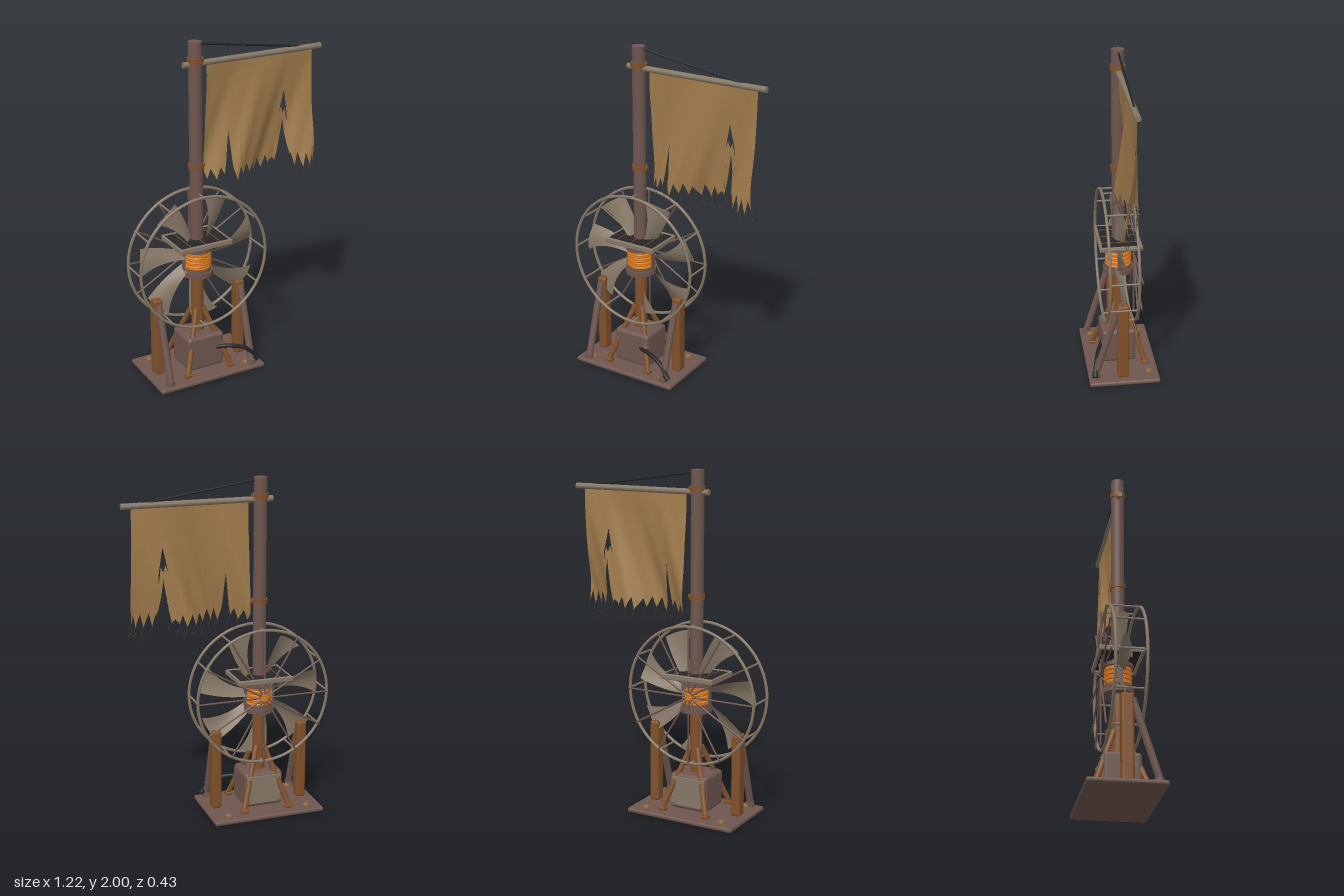
import * as THREE from 'three';
import { RoundedBoxGeometry } from 'three/addons/geometries/RoundedBoxGeometry.js';

const V = (x, y, z) => new THREE.Vector3(x, y, z);
const CX = -0.197, HUB = 0.72;

export function createModel() {
  const root = new THREE.Group();
  root.name = 'windTurbine';
  const mat = (name, color, side = THREE.FrontSide) => {
    const m = new THREE.MeshStandardMaterial({ color, side });
    m.name = name;
    return m;
  };
  const iron = mat('brownIron', 0x6e564e);
  const rust = mat('rust', 0x80502a);
  const copper = mat('copper', 0xde7a1a);
  const metal = mat('wornMetal', 0x857766, THREE.DoubleSide);
  const panelMat = mat('panelDark', 0x262627);
  const cableMat = mat('cableBlack', 0x202426);
  const clothMat = mat('cloth', 0xa07b4b, THREE.DoubleSide);
  const threadMat = mat('thread', 0x4a3c2c);
  const boltMat = mat('boltBronze', 0x8a643e);

  const add = (name, geo, m, x = 0, y = 0, z = 0) => {
    const mesh = new THREE.Mesh(geo, m);
    mesh.name = name;
    mesh.position.set(x, y, z);
    root.add(mesh);
    return mesh;
  };
  // Round bar between two points
  const bar = (name, a, b, r, m, sides = 10) => {
    const mesh = add(name, new THREE.CylinderGeometry(r, r, a.distanceTo(b), sides), m);
    mesh.position.copy(a).add(b).multiplyScalar(0.5);
    mesh.quaternion.setFromUnitVectors(V(0, 1, 0), b.clone().sub(a).normalize());
    return mesh;
  };
  const box = (name, w, h, d, r, m, x, y, z) => add(name, new RoundedBoxGeometry(w, h, d, 3, r), m, x, y, z);
  const tube = (name, pts, r, m, n = 20) =>
    add(name, new THREE.TubeGeometry(new THREE.CatmullRomCurve3(pts), n, r, 8), m);

  // Base plate with corner bolts
  box('basePlate', 0.685, 0.028, 0.43, 0.012, iron, CX, 0.014, -0.002);
  for (const x of [-0.447, 0.047]) for (const z of [-0.157, 0.153]) {
    add('boltWasher', new THREE.CylinderGeometry(0.024, 0.024, 0.008, 16), boltMat, x, 0.031, z);
    const dome = add('baseBolt', new THREE.SphereGeometry(0.019, 14, 6, 0, Math.PI * 2, 0, Math.PI / 2), boltMat, x, 0.034, z);
    dome.scale.y = 0.7;
  }

  // Battery box, back plate, screws
  box('batteryBox', 0.24, 0.215, 0.21, 0.022, iron, CX, 0.143, 0.008);
  box('boxBackPlate', 0.215, 0.175, 0.008, 0.003, metal, CX, 0.145, -0.099);
  for (const x of [-0.09, 0.09]) for (const y of [0.075, 0.215])
    add('plateScrew', new THREE.SphereGeometry(0.009, 10, 6), boltMat, CX + x, y, -0.104);

  // Power cable
  tube('cable', [V(-0.13, 0.16, 0.108), V(-0.04, 0.157, 0.14), V(0.05, 0.125, 0.165), V(0.1, 0.06, 0.178)], 0.013, cableMat);
  bar('cablePlug', V(0.085, 0.075, 0.175), V(0.11, 0.05, 0.18), 0.017, cableMat);

  // Mast and its four struts
  bar('lowerMast', V(CX, 0.24, 0), V(CX, 0.8, 0), 0.037, rust, 20);
  bar('upperMast', V(CX, 0.79, 0), V(CX, 2, 0), 0.038, iron, 24);
  for (const y of [1.285, 1.895]) {
    add('mastClamp', new THREE.CylinderGeometry(0.046, 0.046, 0.028, 24), rust, CX, y, 0);
    box('clampLug', 0.02, 0.022, 0.02, 0.004, rust, CX + 0.045, y, 0);
  }
  for (const sx of [-1, 1]) for (const sz of [-1, 1]) {
    bar('mastStrut', V(CX + sx * 0.14, 0.05, sz * 0.145), V(CX + sx * 0.022, 0.4, sz * 0.025), 0.016, rust);
    box('strutFoot', 0.045, 0.02, 0.04, 0.006, rust, CX + sx * 0.14, 0.04, sz * 0.145);
  }

  // Side posts with leaning braces
  for (const x of [-0.467, 0.073]) {
    box('sidePost', 0.058, 0.49, 0.07, 0.014, rust, x, 0.272, 0.005);
    bar('postBrace', V(x, 0.045, 0.175), V(x, 0.49, 0.035), 0.021, iron, 12);
    add('braceFoot', new THREE.CylinderGeometry(0.026, 0.028, 0.03, 12), iron, x, 0.042, 0.172);
  }

  // Generator coil between two flanges
  for (const [y, h, r] of [[0.63, 0.03, 0.092], [0.655, 0.02, 0.082], [0.782, 0.022, 0.088]])
    add('coilFlange', new THREE.CylinderGeometry(r, r, h, 28), iron, CX, y, 0);
  add('coilCore', new THREE.CylinderGeometry(0.07, 0.07, 0.13, 24), copper, CX, 0.715, 0);
  for (let i = 0; i < 8; i++) {
    const t = add('coilTurn', new THREE.TorusGeometry(0.07, 0.0095, 8, 32), copper, CX, 0.67 + i * 0.0135, 0);
    t.rotation.set(Math.PI / 2, i % 2 ? 0.05 : -0.04, 0);
  }
  for (const s of [-1, 1]) box('coilBracket', 0.012, 0.12, 0.03, 0.005, iron, CX + s * 0.086, 0.71, 0);

  // Seven swept, twisted blades
  const bladeGeo = new THREE.PlaneGeometry(1, 1, 8, 12);
  const bp = bladeGeo.attributes.position;
  for (let i = 0; i < bp.count; i++) {
    const v = bp.getX(i) + 0.5, s = bp.getY(i) + 0.5;
    const lo = -20 + 10 * s, hi = 1 + 14 * Math.pow(s, 1.7);
    const a = THREE.MathUtils.degToRad(lo + (hi - lo) * v), r = 0.08 + 0.29 * s;
    const z = (v - 0.5) * 0.055 * (1 - 0.3 * s) + 0.014 * Math.sin(Math.PI * v) * s;
    bp.setXYZ(i, r * Math.cos(a), r * Math.sin(a), z);
  }
  bladeGeo.computeVertexNormals();
  for (let i = 0; i < 7; i++)
    add('fanBlade', bladeGeo, metal, CX, HUB, 0).rotation.z = THREE.MathUtils.degToRad(17 + i * 360 / 7);

  // Guard cage: two hoops, cross bars and rear spokes
  for (const z of [-0.075, 0.095])
    add('guardHoop', new THREE.TorusGeometry(0.403, 0.009, 8, 72), metal, CX, HUB, z);
  for (let i = 0; i < 12; i++) {
    const a = i * Math.PI / 6, c = Math.cos(a), s = Math.sin(a);
    const at = (r, z) => V(CX + r * c, HUB + r * s, z);
    bar('guardCrossBar', at(0.403, -0.075), at(0.403, 0.095), 0.006, metal, 8);
    bar('guardSpoke', at(0.025, -0.096), at(0.403, -0.096), 0.0055, iron, 8);
  }

  // Solar panel tray around the mast
  box('solarPanel', 0.31, 0.014, 0.235, 0.004, panelMat, CX, 0.834, 0);
  for (const s of [-1, 1]) {
    box('panelRail', 0.335, 0.034, 0.018, 0.008, metal, CX, 0.829, s * 0.119);
    box('panelSideRail', 0.014, 0.03, 0.24, 0.006, metal, CX + s * 0.158, 0.829, 0);
  }
  for (const x of [-0.093, 0, 0.093])
    add('panelGridLine', new THREE.BoxGeometry(0.004, 0.003, 0.23), rust, CX + x, 0.842, 0);

  // Yard and stay line
  bar('yard', V(-0.27, 1.875, 0), V(0.613, 1.875, 0), 0.017, metal, 14);
  bar('stayLine', V(-0.175, 1.985, 0), V(0.475, 1.887, 0), 0.006, cableMat, 8);

  // Cloth: columns between a top and a bottom edge, billowing more toward the hem
  const billow = (x, y) => {
    const t = Math.max(0, (1.87 - y) / 0.67);
    return t * (0.053 * Math.cos((x - 0.04 - 0.22 * (1 - t)) * 13.4) + 0.007 * Math.sin(x * 52 - y * 16));
  };
  const lerpEdge = (pts, x) => {
    let k = 0;
    while (k < pts.length - 2 && x > pts[k + 1][0]) k++;
    const [a, b] = [pts[k], pts[k + 1]];
    return a[1] + (b[1] - a[1]) * (x - a[0]) / (b[0] - a[0]);
  };
  const cloth = (name, top, bottom, rows) => {
    const xs = [...top, ...bottom].map((p) => p[0]);
    const x0 = Math.min(...xs), x1 = Math.max(...xs);
    for (let x = x0 + 0.012; x < x1; x += 0.012) xs.push(x);
    const cols = [...new Set(xs)].sort((a, b) => a - b);
    const pos = [], idx = [];
    cols.forEach((x, i) => {
      const yt = lerpEdge(top, x), yb = lerpEdge(bottom, x);
      for (let j = 0; j <= rows; j++) {
        const y = yt + (yb - yt) * j / rows;
        pos.push(x, y, billow(x, y));
        if (i && j) {
          const d = i * (rows + 1) + j, b = d - rows - 1;
          idx.push(b - 1, b, d, b - 1, d, d - 1);
        }
      }
    });
    const g = new THREE.BufferGeometry();
    g.setAttribute('position', new THREE.Float32BufferAttribute(pos, 3));
    g.setIndex(idx);
    g.computeVertexNormals();
    return add(name, g, clothMat);
  };
  const hem = [
    [-0.125, 1.22], [-0.115, 1.18], [-0.095, 1.24], [-0.07, 1.18], [-0.045, 1.25], [-0.025, 1.21], [-0.014, 1.27],
    [0.008, 1.46], [0.022, 1.24], [0.04, 1.17], [0.065, 1.25], [0.09, 1.19], [0.115, 1.255], [0.145, 1.19],
    [0.165, 1.24], [0.2, 1.18], [0.22, 1.25], [0.255, 1.18], [0.28, 1.25], [0.3, 1.2], [0.325, 1.23],
    [0.345, 1.21], [0.357, 1.5], [0.385, 1.64], [0.412, 1.5], [0.418, 1.27], [0.44, 1.18], [0.46, 1.26],
    [0.485, 1.17], [0.505, 1.25], [0.53, 1.17], [0.545, 1.25], [0.558, 1.19],
  ];
  cloth('tornBanner', [[-0.125, 1.868], [0.558, 1.868]], hem, 26);
  cloth('tornFlap', [[0.346, 1.47], [0.372, 1.54], [0.385, 1.5], [0.4, 1.53], [0.418, 1.4]],
    [[0.346, 1.22], [0.36, 1.28], [0.388, 1.46], [0.408, 1.3], [0.418, 1.24]], 10);

  // Loose threads under the hem
  hem.filter((p) => p[1] <= 1.21).forEach(([x, y], i) => {
    const pts = [0, 1, 2, 3, 4].map((k) =>
      V(x + 0.008 * Math.sin(k * 1.8 + i) + 0.004 * k, y + 0.015 - k * (0.016 + 0.004 * (i % 3)), billow(x, y) + 0.003 * k * Math.sin(i)));
    tube('looseThread', pts, 0.0012, threadMat, 12);
  });

  return root;
}
